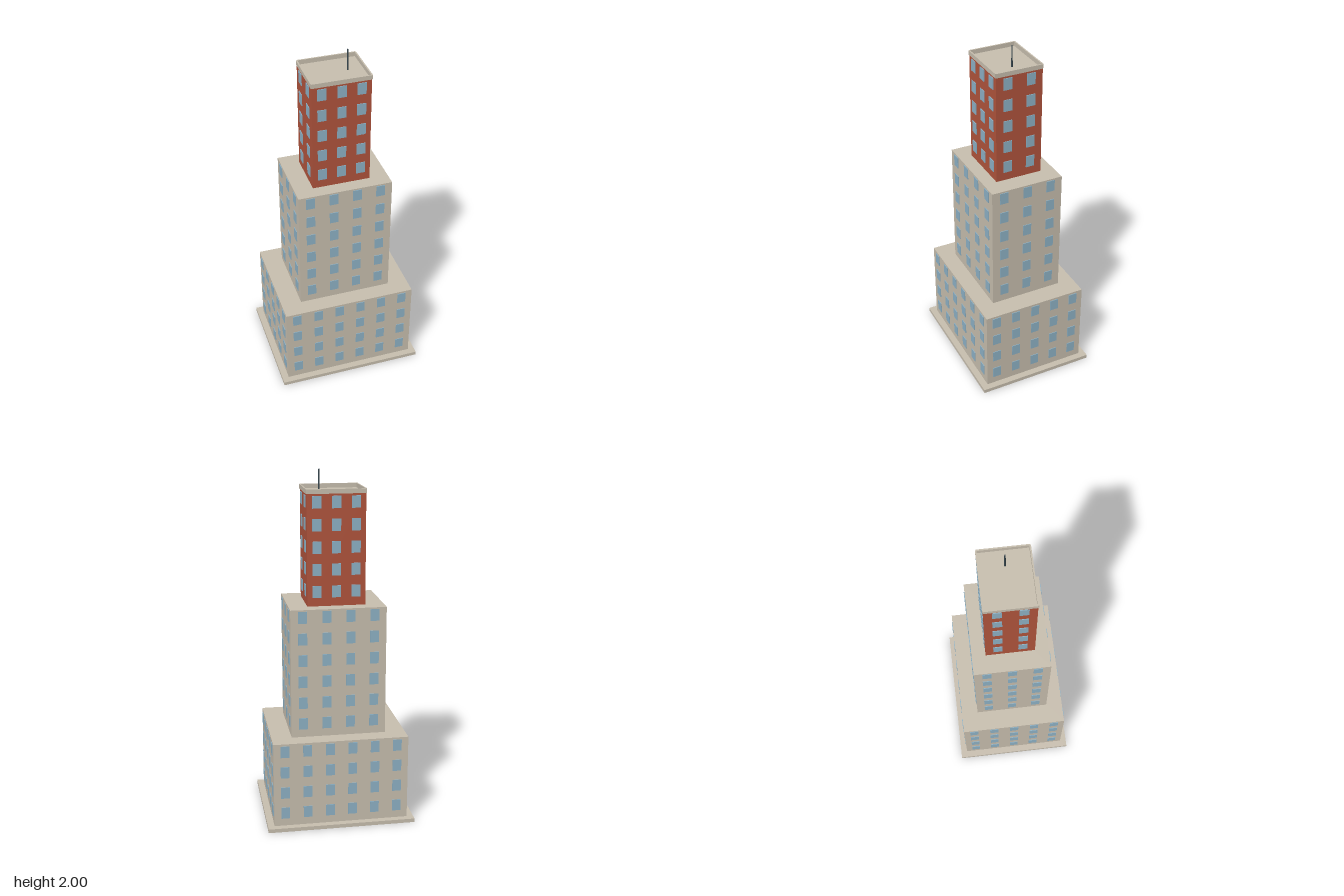
import * as THREE from 'three';

const flat = (name, color) => {
  const m = new THREE.MeshStandardMaterial({ color });
  m.name = name;
  return m;
};

export function createModel() {
  const stone = flat('stone', 0xc9c0b0);
  const brick = flat('brick', 0xb2553d);
  const glass = flat('glass', 0x8fb3c7);
  const metal = flat('metal', 0x37474f);
  const model = new THREE.Group();
  model.name = 'steppedTower';

  // Box placed by its bottom height
  const addBox = (parent, name, mat, w, h, d, x, y, z) => {
    const mesh = new THREE.Mesh(new THREE.BoxGeometry(w, h, d), mat);
    mesh.name = name;
    mesh.position.set(x, y + h / 2, z);
    parent.add(mesh);
    return mesh;
  };

  addBox(model, 'baseSlab', stone, 0.848, 0.022, 0.694, 0, 0, 0);

  // Stacked tiers, each with evenly spaced windows on all four sides
  const tiers = [
    { name: 'lowerTier', w: 0.772, d: 0.618, y0: 0.022, y1: 0.517, cols: 6, sideCols: 5, rows: 4, firstRow: 0.1, wall: stone },
    { name: 'middleTier', w: 0.54, d: 0.426, y0: 0.517, y1: 1.258, cols: 4, sideCols: 3, rows: 6, firstRow: 0.597, wall: stone },
    { name: 'upperTier', w: 0.328, d: 0.272, y0: 1.258, y1: 1.88, cols: 3, sideCols: 2, rows: 5, firstRow: 1.34, wall: brick },
  ];
  const winW = 0.05, winH = 0.067, winT = 0.008, rowStep = 0.1237;

  for (const t of tiers) {
    const tier = new THREE.Group();
    tier.name = t.name;
    model.add(tier);
    // The roof face is always stone
    const walls = [t.wall, t.wall, stone, t.wall, t.wall, t.wall];
    addBox(tier, 'walls', walls, t.w, t.y1 - t.y0, t.d, 0, t.y0, 0);

    for (let r = 0; r < t.rows; r++) {
      const y = t.firstRow + r * rowStep - winH / 2;
      for (const s of [-1, 1]) {
        for (let c = 0; c < t.cols; c++) {
          const x = ((c + 0.5) / t.cols - 0.5) * t.w;
          addBox(tier, 'window', glass, winW, winH, winT, x, y, s * t.d / 2);
        }
        for (let c = 0; c < t.sideCols; c++) {
          const z = ((c + 0.5) / t.sideCols - 0.5) * t.d;
          addBox(tier, 'window', glass, winT, winH, winW, s * t.w / 2, y, z);
        }
      }
    }
  }

  // Low parapet straddling the roof edge
  const top = tiers[2];
  for (const s of [-1, 1]) {
    addBox(model, 'parapet', stone, top.w, 0.025, 0.008, 0, top.y1, s * top.d / 2);
    addBox(model, 'parapet', stone, 0.008, 0.025, top.d, s * top.w / 2, top.y1, 0);
  }

  // Rooftop antenna
  const antenna = new THREE.Mesh(new THREE.CylinderGeometry(0.0035, 0.0045, 0.12, 8), metal);
  antenna.name = 'antenna';
  antenna.position.set(0.076, 1.94, 0);
  model.add(antenna);

  return model;
}
